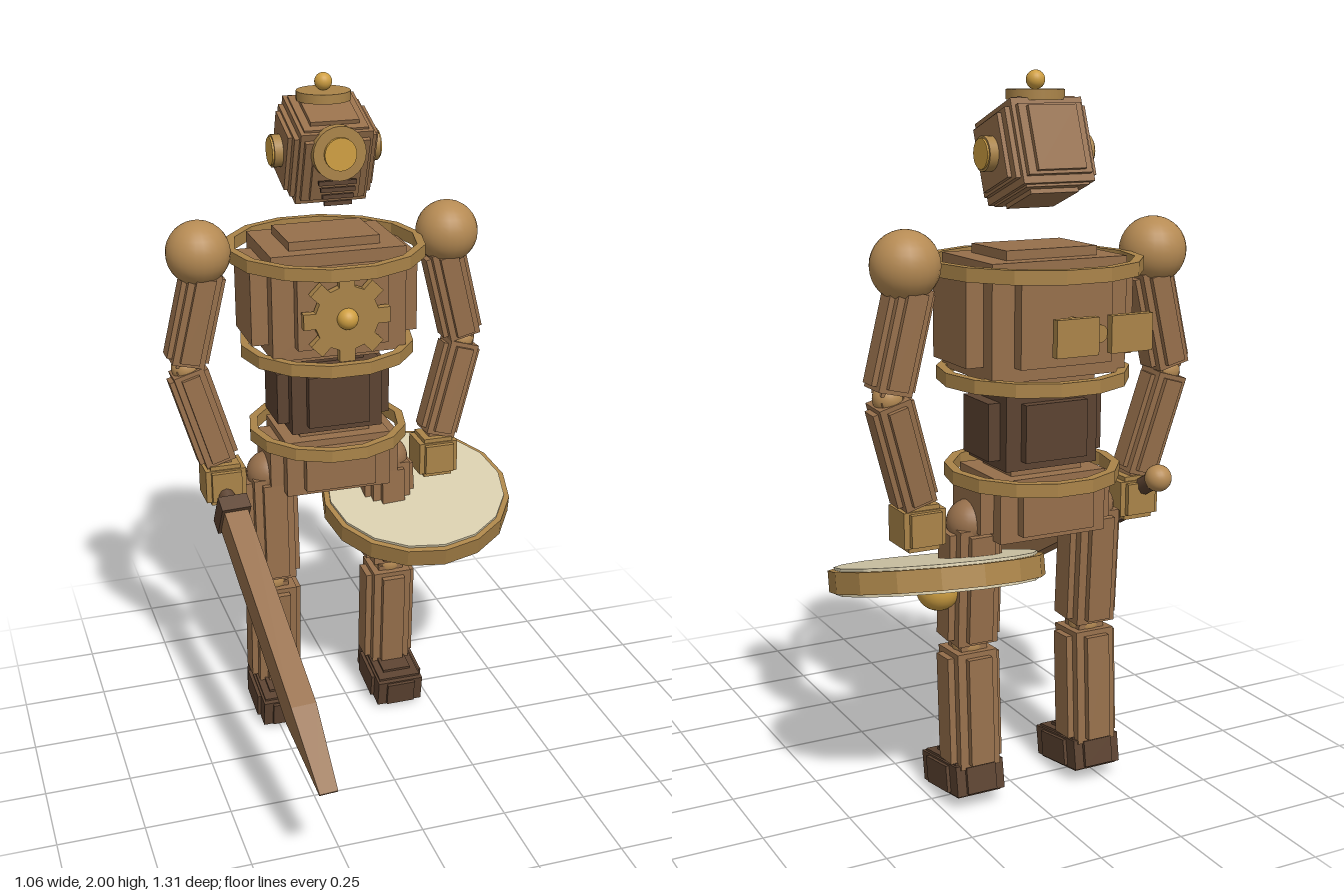
import * as THREE from 'three';

const mat = (name, color) => {
  const m = new THREE.MeshStandardMaterial({ color });
  m.name = name;
  return m;
};

export function createModel() {
  const wood = mat('wood', 0x966f4b), dark = mat('darkWood', 0x5c4331);
  const bronze = mat('bronze', 0xaa8449), gold = mat('gold', 0xcf9f42);
  const ball = mat('jointWood', 0xb68b54), cream = mat('hide', 0xd6cbab);
  const model = new THREE.Group();
  const CX = -0.04, CZ = -0.29;

  const add = (parent, name, geo, m, x = 0, y = 0, z = 0) => {
    const mesh = new THREE.Mesh(geo, m);
    mesh.name = name;
    mesh.position.set(x, y, z);
    parent.add(mesh);
    return mesh;
  };
  const group = (name, x = 0, y = 0, z = 0) => {
    const g = new THREE.Group();
    g.name = name;
    g.position.set(x, y, z);
    model.add(g);
    return g;
  };
  const box = (w, h, d) => new THREE.BoxGeometry(w, h, d);
  const sphere = r => new THREE.SphereGeometry(r, 24, 16);
  const disc = (r, h, n = 24) => new THREE.CylinderGeometry(r, r, h, n);

  // Block with a raised plate on every face
  const plated = (name, w, h, d, m, x, y, z) => {
    const g = group(name, x, y, z);
    add(g, 'core', box(w * 0.8, h * 0.86, d * 0.8), m);
    add(g, 'sidePlates', box(w, h * 0.65, d * 0.54), m);
    add(g, 'endPlates', box(w * 0.54, h * 0.65, d), m);
    add(g, 'capPlates', box(w * 0.54, h, d * 0.54), m);
    return g;
  };

  // Fluted beam from a to b
  const limb = (name, a, b, w) => {
    const A = new THREE.Vector3(...a), B = new THREE.Vector3(...b);
    const L = A.distanceTo(B);
    const g = group(name);
    g.position.copy(A).lerp(B, 0.5);
    g.quaternion.setFromUnitVectors(new THREE.Vector3(0, 1, 0), A.clone().sub(B).normalize());
    add(g, 'core', box(w * 0.76, L * 0.92, w * 0.76), wood);
    add(g, 'sideRibs', box(w, L * 0.84, w * 0.45), wood);
    add(g, 'frontRibs', box(w * 0.45, L * 0.84, w), wood);
    add(g, 'ends', box(w * 0.5, L, w * 0.5), wood);
  };

  // Trunk
  plated('chest', 0.5, 0.36, 0.36, wood, CX, 1.37, CZ);
  plated('belly', 0.345, 0.24, 0.27, dark, CX, 1.07, CZ);
  plated('pelvis', 0.4, 0.2, 0.3, wood, CX, 0.86, CZ);

  // Hoops around the trunk
  const hoop = (name, r, y, h) => {
    const s = new THREE.Shape(), hole = new THREE.Path();
    for (let i = 0; i < 14; i++) {
      const a = i / 14 * Math.PI * 2, f = i ? 'lineTo' : 'moveTo';
      s[f](r * Math.cos(a), r * Math.sin(a));
      hole[f]((r - 0.025) * Math.cos(a), (r - 0.025) * Math.sin(a));
    }
    s.closePath();
    hole.closePath();
    s.holes.push(hole);
    const geo = new THREE.ExtrudeGeometry(s, { depth: h, bevelEnabled: false });
    geo.translate(0, 0, -h / 2).rotateX(Math.PI / 2);
    add(model, name, geo, bronze, CX, y, CZ);
  };
  hoop('shoulderHoop', 0.293, 1.5, 0.037);
  hoop('ribHoop', 0.26, 1.207, 0.037);
  hoop('hipHoop', 0.24, 0.938, 0.037);

  // Chest gear
  const gear = new THREE.Shape();
  for (let i = 0; i < 8; i++) {
    [[-0.24, 0.095], [-0.18, 0.13], [0.18, 0.13], [0.24, 0.095]].forEach(([o, r], j) => {
      const a = i * Math.PI / 4 + o;
      gear[i || j ? 'lineTo' : 'moveTo'](r * Math.cos(a), r * Math.sin(a));
    });
  }
  gear.closePath();
  add(model, 'chestGear', new THREE.ExtrudeGeometry(gear, { depth: 0.025, bevelEnabled: false }),
    bronze, CX, 1.35, -0.097);
  add(model, 'gearHub', sphere(0.031), gold, CX, 1.35, -0.07);

  // Wind-up key on the back
  add(model, 'keyShaft', disc(0.023, 0.14).rotateX(Math.PI / 2), bronze, CX, 1.363, -0.56);
  for (const s of [-1, 1])
    add(model, 'keyWing', box(0.12, 0.095, 0.022), bronze, CX + s * 0.078, 1.363, -0.645);

  // Head, tipped forward
  const head = plated('head', 0.26, 0.26, 0.26, wood, CX, 1.79, CZ + 0.003);
  add(head, 'sideStep', box(0.236, 0.185, 0.185), wood);
  add(head, 'frontStep', box(0.185, 0.185, 0.236), wood);
  add(head, 'topStep', box(0.185, 0.236, 0.185), wood);
  head.rotation.x = 0.36;
  add(model, 'eyeRing', disc(0.076, 0.03).rotateX(Math.PI / 2), bronze, CX, 1.805, -0.147);
  add(model, 'eyeLens', disc(0.046, 0.012).rotateX(Math.PI / 2), gold, CX, 1.805, -0.128);
  for (const s of [-1, 1]) {
    add(model, 'ear', disc(0.046, 0.03).rotateZ(Math.PI / 2), bronze, CX + s * 0.14, 1.79, CZ);
    add(model, 'earCap', disc(0.04, 0.008).rotateZ(Math.PI / 2), gold, CX + s * 0.156, 1.79, CZ);
  }
  for (let i = 0; i < 4; i++)
    add(model, 'mouthSlat', box(0.11 - i * 0.01, 0.012, 0.012), dark, CX, 1.72 - i * 0.019, -0.158);
  add(model, 'crownDisc', disc(0.077, 0.026), bronze, CX, 1.938, CZ);
  add(model, 'crownKnob', sphere(0.025), gold, CX, 1.975, CZ);

  // Arms and legs, mirrored about the body centre
  for (const s of [-1, 1]) {
    const X = d => CX + s * d;
    add(model, 'shoulder', sphere(0.093), ball, X(0.375), 1.515, CZ);
    limb('upperArm', [X(0.358), 1.475, CZ], [X(0.43), 1.18, CZ], 0.125);
    add(model, 'elbow', sphere(0.042), ball, X(0.427), 1.175, CZ);
    limb('forearm', [X(0.43), 1.18, CZ], [X(0.34), 0.87, -0.27], 0.12);
    const hand = group('hand', X(0.335), 0.817, -0.265);
    add(hand, 'palm', box(0.122, 0.1, 0.1), bronze);
    add(hand, 'palmPlate', box(0.09, 0.125, 0.09), bronze);
    add(hand, 'knucklePlate', box(0.09, 0.09, 0.13), bronze);

    add(model, 'hip', sphere(0.065), wood, X(0.19), 0.81, CZ);
    limb('thigh', [X(0.187), 0.82, CZ], [X(0.187), 0.46, -0.272], 0.158);
    add(model, 'knee', sphere(0.045), ball, X(0.187), 0.458, -0.27);
    limb('shin', [X(0.187), 0.46, -0.27], [X(0.187), 0.1, -0.292], 0.158);
    const foot = plated('foot', 0.165, 0.115, 0.24, dark, X(0.188), 0.068, -0.243);
    add(foot, 'sole', box(0.145, 0.085, 0.22), dark);
    foot.rotation.x = 0.17;
  }

  // Sword, pointing forward and down along its own +z
  const sword = group('sword', -0.375, 0.755, -0.15);
  const blade = new THREE.BoxGeometry(1, 1, 0.9, 1, 1, 2).toNonIndexed();
  const p = blade.attributes.position;
  for (let i = 0; i < p.count; i++) {
    const tip = p.getZ(i) > 0.4, mid = Math.abs(p.getZ(i)) < 0.1;
    p.setXYZ(i, p.getX(i) * (tip ? 0.052 : 0.072), p.getY(i) * (tip ? 0.006 : 0.09),
      tip ? 0.922 : mid ? 0.68 : 0.02);
  }
  blade.computeVertexNormals();
  add(sword, 'blade', blade, wood);
  add(sword, 'guard', box(0.088, 0.115, 0.05), dark);
  add(sword, 'grip', disc(0.026, 0.26, 10).rotateX(Math.PI / 2), dark, 0, 0, -0.13);
  add(sword, 'pommel', sphere(0.038), ball, 0, 0, -0.27);
  sword.lookAt(-0.32, 0.3, 0.65);

  // Round shield, tipped toward the front
  const shield = group('shield', 0.237, 0.673, -0.265);
  const rim = disc(0.294, 0.058, 16).toNonIndexed(), face = disc(0.277, 0.074, 16).toNonIndexed();
  rim.computeVertexNormals();
  face.computeVertexNormals();
  add(shield, 'rim', rim, bronze);
  add(shield, 'face', face, cream);
  add(shield, 'boss', sphere(0.062), gold, 0, -0.042, 0);
  shield.rotation.set(0.27, 0, 0.045);

  return model;
}
